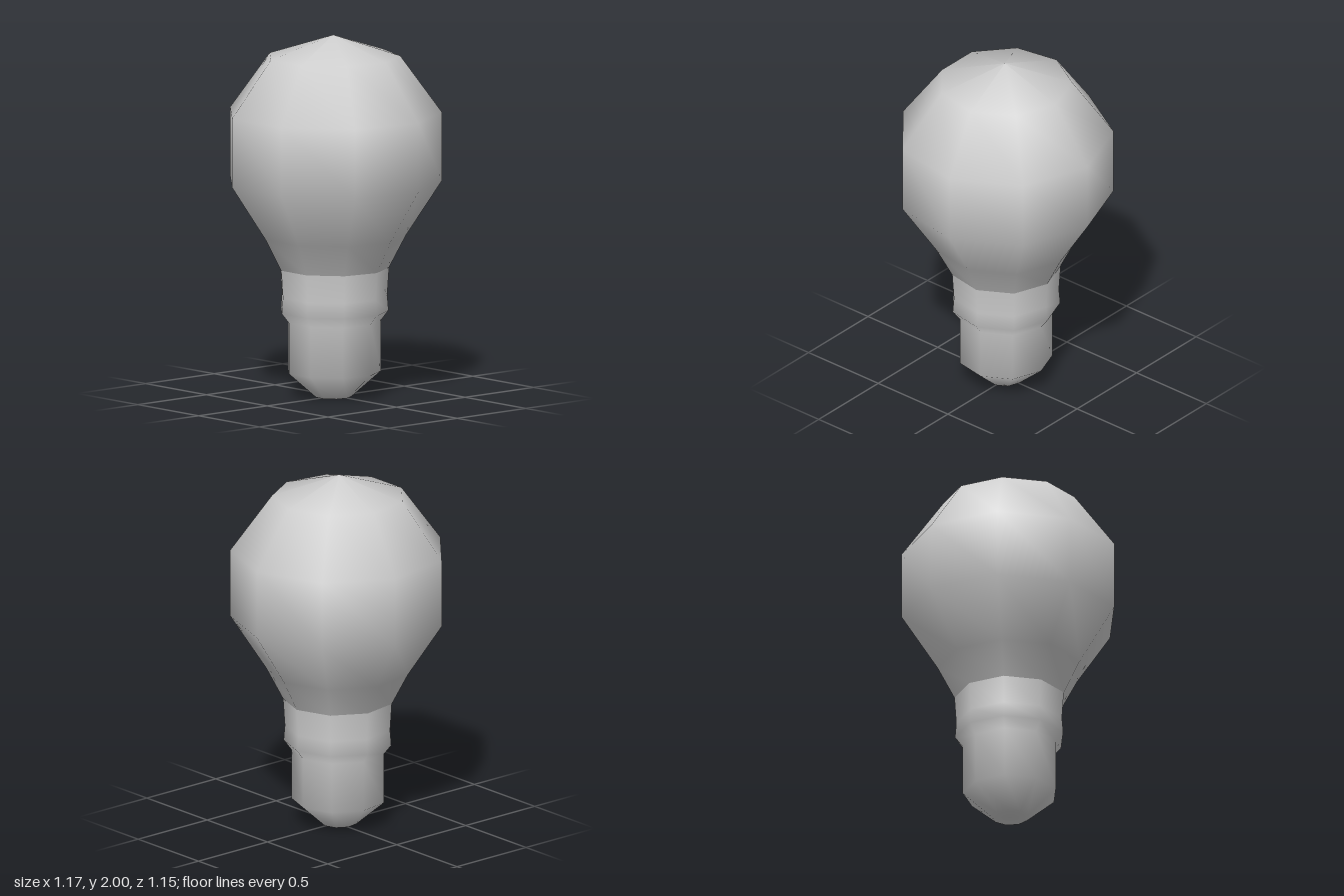
import * as THREE from 'three';

const SIDES = 9;

// Smooth-shaded nine-sided turned part, one corner pointing to the back
function turned(name, profile) {
  const points = profile.map(([r, y]) => new THREE.Vector2(r, y));
  const geometry = new THREE.LatheGeometry(points, SIDES, Math.PI);
  const mesh = new THREE.Mesh(geometry, new THREE.MeshStandardMaterial({ color: 0xcccccc }));
  mesh.name = name;
  mesh.position.z = 0.018; // an odd side count sits off centre
  return mesh;
}

export function createModel() {
  const group = new THREE.Group();
  group.name = 'lightBulb';

  // Screw base with a collar, tapering to the contact tip
  group.add(turned('screwBase', [
    [0, 0], [0.1, 0], [0.26, 0.14], [0.26, 0.42],
    [0.302, 0.475], [0.295, 0.56], [0.305, 0.713],
  ]));

  // Glass globe, from the neck up to the pointed crown
  group.add(turned('glassGlobe', [
    [0.305, 0.713], [0.397, 0.89], [0.593, 1.19],
    [0.593, 1.57], [0.366, 1.882], [0, 2],
  ]));

  return group;
}
